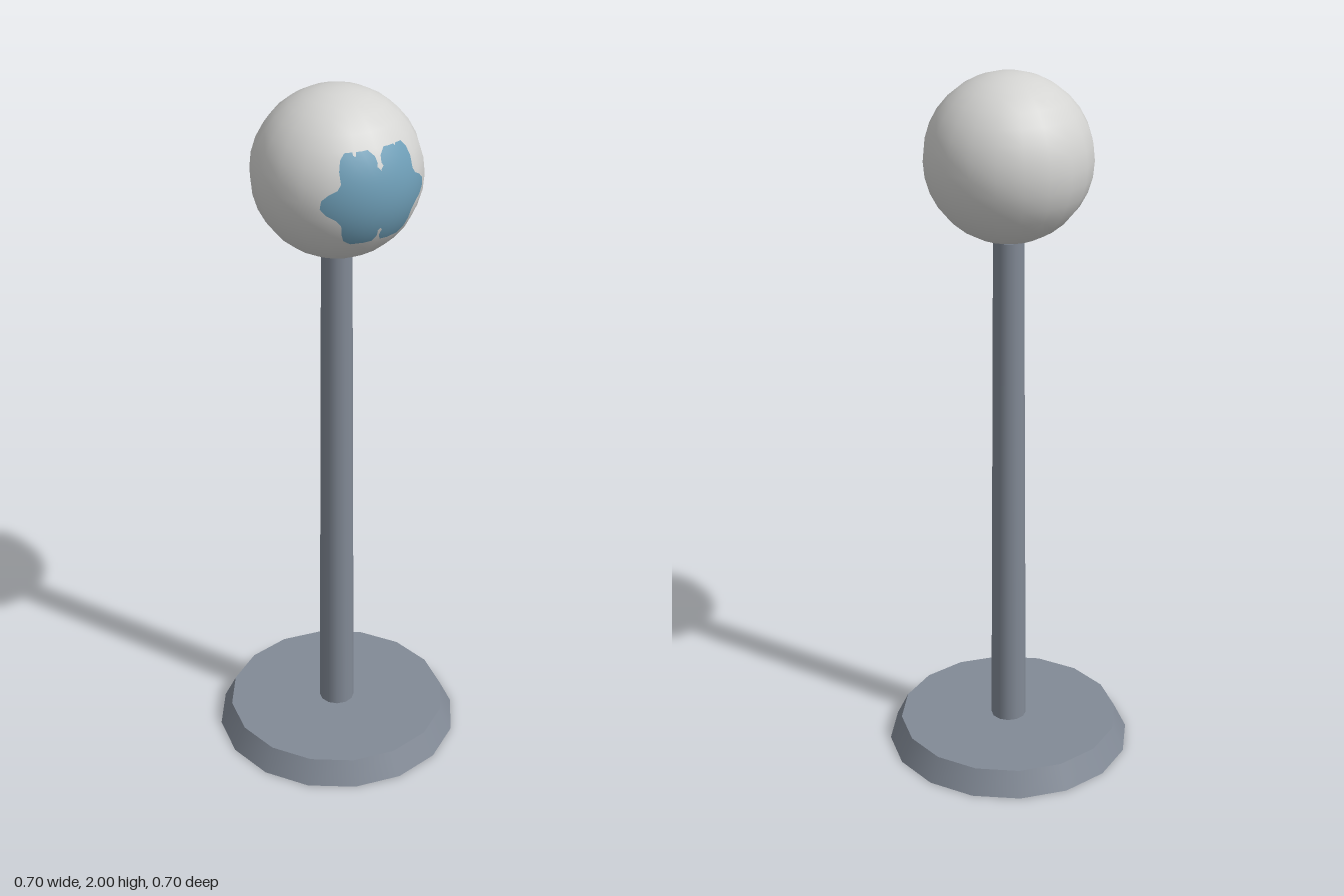
import * as THREE from 'three';

const material = (name, color) => {
  const m = new THREE.MeshStandardMaterial({ color });
  m.name = name;
  return m;
};

// Star-shaped outline projected onto the front of a sphere, filled with rings
function spherePatch(outline, radius, rings) {
  const n = outline.length, normals = [], positions = [], index = [];
  for (let r = 0; r <= rings; r++) {
    for (const [px, py] of outline) {
      const x = px * r / rings, y = py * r / rings;
      const v = [x, y, Math.sqrt(radius * radius - x * x - y * y)];
      positions.push(...v);
      normals.push(...v.map((c) => c / radius));
    }
  }
  for (let r = 0; r < rings; r++) {
    for (let i = 0; i < n; i++) {
      const a = r * n + i, b = r * n + (i + 1) % n;
      index.push(a, a + n, b + n);
      if (r > 0) index.push(a, b + n, b);
    }
  }
  const g = new THREE.BufferGeometry();
  g.setAttribute('position', new THREE.Float32BufferAttribute(positions, 3));
  g.setAttribute('normal', new THREE.Float32BufferAttribute(normals, 3));
  g.setIndex(index);
  return g;
}

export function createModel() {
  const model = new THREE.Group();
  model.name = 'pedestalBall';
  const metal = material('grey metal', 0x828a96);
  const shell = material('pale shell', 0xd4d4d2);
  const blue = material('blue lens', 0x6f9fb8);

  const add = (name, geometry, mat, y) => {
    const mesh = new THREE.Mesh(geometry, mat);
    mesh.name = name;
    mesh.position.y = y;
    model.add(mesh);
  };

  // Bevelled foot and tapered post
  add('base', new THREE.CylinderGeometry(0.318, 0.352, 0.07, 16), metal, 0.035);
  add('post', new THREE.CylinderGeometry(0.042, 0.051, 1.485, 12), metal, 0.8025);

  // Ball head
  const R = 0.228, headY = 2 - R;
  add('head', new THREE.SphereGeometry(R, 20, 16), shell, headY);

  // Blue patch: right half outline from bottom to top, mirrored for the left
  const half = [
    [0.035, -0.121], [0.07, -0.121], [0.09, -0.108], [0.1, -0.085], [0.105, -0.058],
    [0.118, -0.042], [0.14, -0.028], [0.153, -0.01], [0.15, 0.012], [0.135, 0.028],
    [0.115, 0.04], [0.106, 0.055], [0.105, 0.085], [0.097, 0.11], [0.083, 0.126], [0.04, 0.127],
  ];
  const outline = [...half, ...half.map(([x, y]) => [-x, y]).reverse()];
  add('facePatch', spherePatch(outline, R + 0.0005, 8), blue, headY);

  return model;
}
